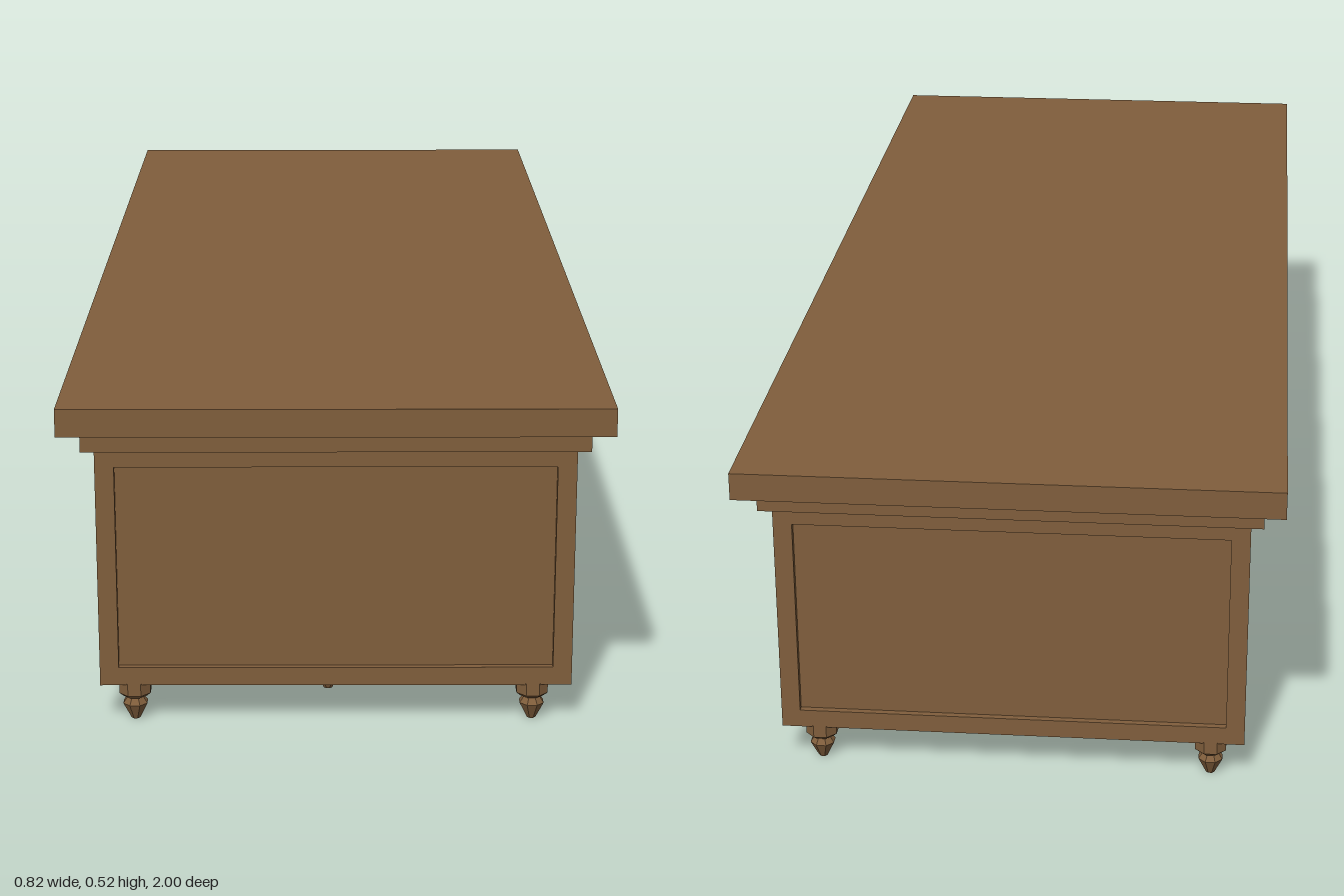
import * as THREE from 'three';

const RECESS = 0.01; // depth of the sunken panels
const RAIL = 0.029;  // width of the frame around them
const BASE = 0.062, BODY_TOP = 0.442, CAP_TOP = 0.477, TOP = 0.52;

export function createModel() {
  const desk = new THREE.Group();
  desk.name = 'desk';
  const wood = new THREE.MeshStandardMaterial({ color: 0x805e3c });
  wood.name = 'brown wood';

  function add(parent, name, geometry) {
    const mesh = new THREE.Mesh(geometry, wood);
    mesh.name = name;
    parent.add(mesh);
    return mesh;
  }

  // Box given by its lower and upper limits
  function box(parent, name, x0, x1, y0, y1, z0, z1) {
    add(parent, name, new THREE.BoxGeometry(x1 - x0, y1 - y0, z1 - z0))
      .position.set((x0 + x1) / 2, (y0 + y1) / 2, (z0 + z1) / 2);
  }

  // Rectangular frame, centred, RECESS deep
  function frame(parent, name, w, h) {
    const rect = (path, a, b) => path.moveTo(-a, -b).lineTo(a, -b).lineTo(a, b).lineTo(-a, b).lineTo(-a, -b);
    const shape = new THREE.Shape(), hole = new THREE.Path();
    rect(shape, w / 2, h / 2);
    rect(hole, w / 2 - RAIL, h / 2 - RAIL);
    shape.holes.push(hole);
    const geo = new THREE.ExtrudeGeometry(shape, { depth: RECESS, bevelEnabled: false });
    return add(parent, name, geo.translate(0, 0, -RECESS / 2));
  }

  // Turned, eight-sided geometry with flat facets
  function turned(points) {
    const geo = new THREE.LatheGeometry(points.map(p => new THREE.Vector2(...p)), 8, Math.PI / 8).toNonIndexed();
    geo.computeVertexNormals();
    return geo;
  }

  const footGeo = turned([[0, 0], [0.007, 0], [0.02, 0.026], [0.013, 0.036],
    [0.019, 0.038], [0.026, 0.044], [0.026, BASE + 0.002]]);
  const knobGeo = turned([[0.01, 0], [0.01, 0.012], [0.017, 0.015], [0.017, 0.021], [0.011, 0.024], [0, 0.024]]);

  const foot = (parent, x, z) => add(parent, 'foot', footGeo).position.set(x, 0, z);
  const bodyH = BODY_TOP - BASE, midY = (BODY_TOP + BASE) / 2;

  // Table top
  box(desk, 'tableTop', -0.412, 0.412, CAP_TOP, TOP, -1, 1);

  // End supports, panelled on both faces
  for (const side of [1, -1]) {
    const end = new THREE.Group();
    end.name = side > 0 ? 'frontSupport' : 'backSupport';
    const z = side * 0.922, half = 0.0225;
    box(end, 'supportPanel', -0.361, 0.361, BASE, BODY_TOP, z - half + RECESS, z + half - RECESS);
    for (const s of [1, -1])
      frame(end, 'supportFrame', 0.722, bodyH).position.set(0, midY, z + s * (half - RECESS / 2));
    box(end, 'supportCap', -0.38, 0.38, BODY_TOP, CAP_TOP, z - 0.04, z + 0.04);
    foot(end, -0.309, z);
    foot(end, 0.302, z);
    desk.add(end);
  }

  // Modesty panel between the supports
  box(desk, 'modestyPanel', 0.32, 0.34, 0.315, CAP_TOP, -0.902, 0.902);

  // Drawer pedestal, panelled on three sides
  const pedestal = new THREE.Group();
  pedestal.name = 'pedestal';
  const x0 = -0.361, x1 = 0.04, z0 = 0.445, z1 = 0.85;
  const cx = (x0 + x1) / 2, cz = (z0 + z1) / 2;
  box(pedestal, 'pedestalBody', x0 + RECESS, x1, BASE, BODY_TOP, z0 + RECESS, z1 - RECESS);
  for (const z of [z0 + RECESS / 2, z1 - RECESS / 2])
    frame(pedestal, 'pedestalFrame', x1 - x0, bodyH).position.set(cx, midY, z);
  const face = frame(pedestal, 'drawerFrame', z1 - z0, bodyH);
  face.rotation.y = -Math.PI / 2;
  face.position.set(x0 + RECESS / 2, midY, cz);
  box(pedestal, 'pedestalCap', x0 - 0.018, x1 + 0.018, BODY_TOP, CAP_TOP, z0 - 0.018, z1 + 0.018);
  for (const x of [-0.309, -0.012]) for (const z of [0.49, 0.805]) foot(pedestal, x, z);

  // Drawer knobs
  for (const y of [0.151, 0.258, 0.365]) {
    const knob = add(pedestal, 'drawerKnob', knobGeo);
    knob.rotation.z = Math.PI / 2;
    knob.position.set(x0 + RECESS, y, cz);
  }
  desk.add(pedestal);
  return desk;
}
